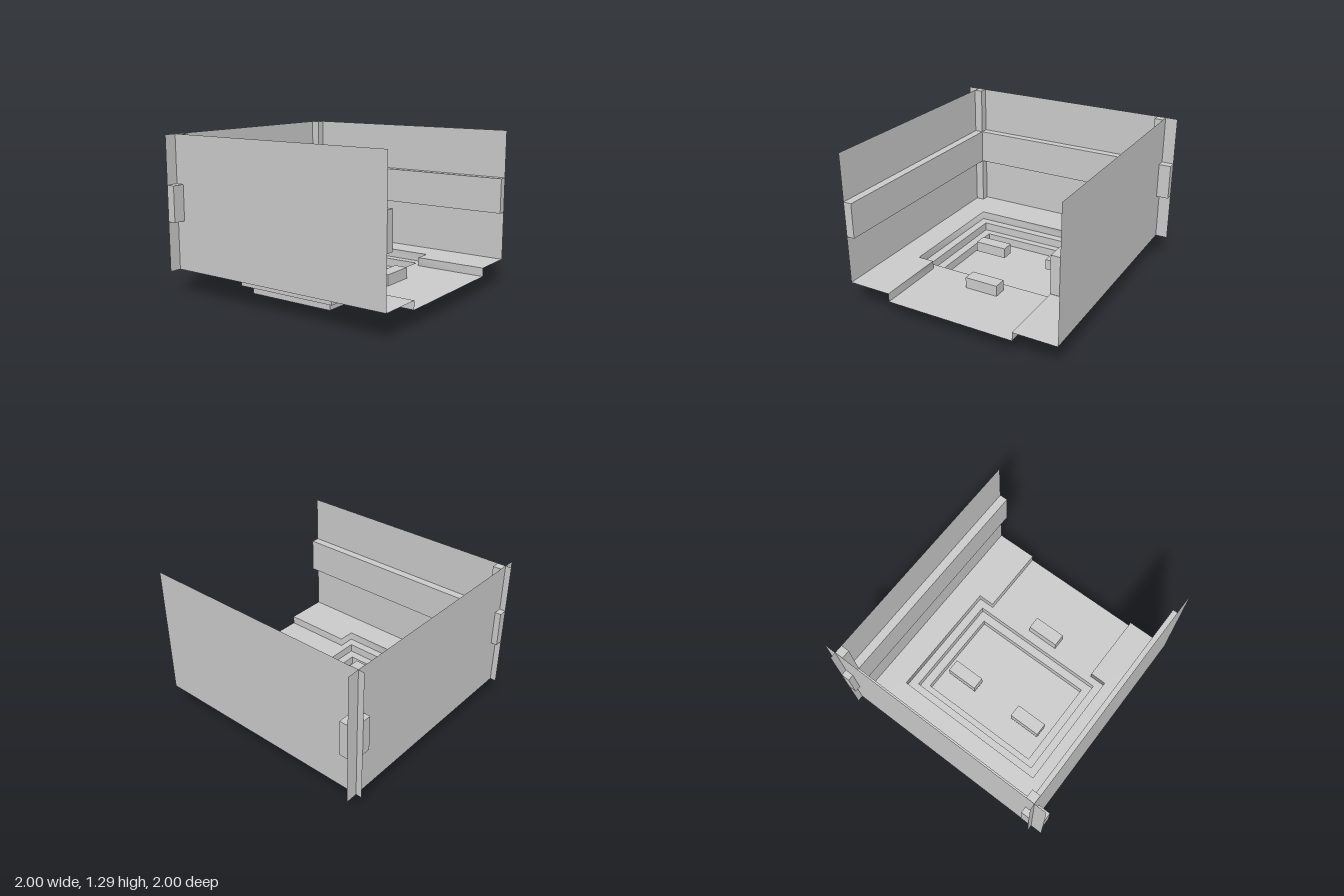
import * as THREE from 'three';

const material = new THREE.MeshStandardMaterial({ color: 0xcccccc, side: THREE.DoubleSide });
const FLOOR = 0.21, TOP = 1.29, STEP = 0.07;
const WALL_X = 0.9, WALL_Z = -0.95, BEAM = 0.07;

// Rectangle outline in plan, as [x, z] corners
const rect = (x, z0, z1) => [[-x, z0], [x, z0], [x, z1], [-x, z1]];

export function createModel() {
  const model = new THREE.Group();

  const add = (name, geometry) => {
    const mesh = new THREE.Mesh(geometry, material);
    mesh.name = name;
    model.add(mesh);
    return mesh;
  };

  const box = (name, x0, x1, y0, y1, z0, z1) =>
    add(name, new THREE.BoxGeometry(x1 - x0, y1 - y0, z1 - z0))
      .position.set((x0 + x1) / 2, (y0 + y1) / 2, (z0 + z1) / 2);

  // Thin horizontal sheet with an optional hole
  const plate = (name, outline, y, hole) => {
    const toPoints = (list) => list.map(([x, z]) => new THREE.Vector2(x, z));
    const shape = new THREE.Shape(toPoints(outline));
    if (hole) shape.holes.push(new THREE.Path(toPoints(hole)));
    add(name, new THREE.ShapeGeometry(shape).rotateX(Math.PI / 2).translate(0, y, 0));
  };

  // Thin vertical band along a plan outline
  const riser = (name, outline, yTop, closed, smooth) => {
    const positions = [], index = [], n = outline.length;
    for (const [x, z] of outline) positions.push(x, yTop, z, x, yTop - STEP, z);
    for (let i = 0; i < (closed ? n : n - 1); i++) {
      const a = 2 * i, b = 2 * ((i + 1) % n);
      index.push(a, b, a + 1, b, b + 1, a + 1);
    }
    let geometry = new THREE.BufferGeometry();
    geometry.setAttribute('position', new THREE.Float32BufferAttribute(positions, 3));
    geometry.setIndex(index);
    if (!smooth) geometry = geometry.toNonIndexed();
    geometry.computeVertexNormals();
    add(name, geometry);
  };

  // Stepped pit: the upper tier opens into a channel running to the front
  const upper = [[0.54, 1], [0.54, 0.4], [0.68, 0.4], [0.68, -0.63],
    [-0.68, -0.63], [-0.68, 0.4], [-0.54, 0.4], [-0.54, 1]];
  const middle = rect(0.61, -0.56, 0.34);
  const lower = rect(0.54, -0.5, 0.27);

  plate('mainFloor', [[-WALL_X, 1], [-WALL_X, WALL_Z], [WALL_X, WALL_Z], [WALL_X, 1], ...upper], FLOOR);
  riser('upperRiser', upper, FLOOR, false, true);
  plate('upperTread', upper, FLOOR - STEP, middle);
  riser('middleRiser', middle, FLOOR - STEP, true, false);
  plate('middleTread', middle, FLOOR - 2 * STEP, lower);
  riser('lowerRiser', lower, FLOOR - 2 * STEP, true, false);
  plate('pitFloor', lower, 0);

  // Back wall and beam run past the side walls
  const height = TOP - FLOOR, midY = (TOP + FLOOR) / 2;
  add('backWall', new THREE.PlaneGeometry(2, height)).position.set(0, midY, WALL_Z);
  box('backBeam', -1, 1, 0.61, 0.9, WALL_Z, WALL_Z + BEAM);

  // Side walls, beams, corner posts and pit blocks, mirrored
  for (const [side, s] of [['left', 1], ['right', -1]]) {
    const mirrored = (part, x0, x1, ...rest) =>
      box(side + part, Math.min(s * x0, s * x1), Math.max(s * x0, s * x1), ...rest);
    const wall = add(side + 'Wall', new THREE.PlaneGeometry(2, height));
    wall.rotation.y = s * Math.PI / 2;
    wall.position.set(s * WALL_X, midY, 0);
    mirrored('Beam', WALL_X - BEAM, WALL_X, 0.61, 0.9, -1, 1);
    mirrored('CornerPost', WALL_X - BEAM, WALL_X, FLOOR, TOP, WALL_Z, WALL_Z + BEAM);
    mirrored('PitBlock', 0.2, 0.48, 0.05, 0.14, -0.3, -0.19);
  }

  // Block on the channel floor
  box('frontBlock', -0.14, 0.14, FLOOR - STEP, 0.23, 0.42, 0.53);

  return model;
}
